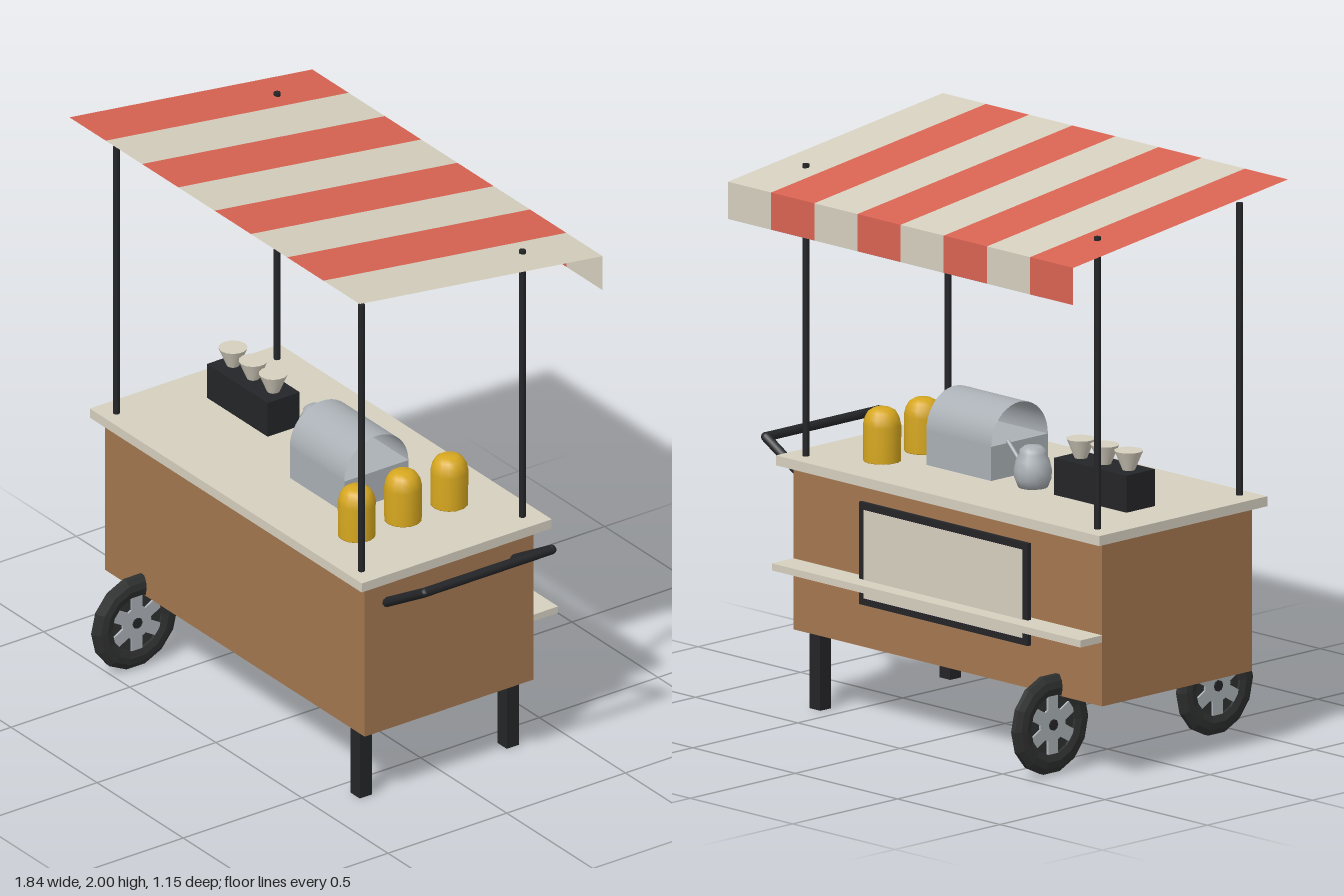
import * as THREE from 'three';

const mat = (name, color, side = THREE.FrontSide) => {
  const m = new THREE.MeshStandardMaterial({ color, side });
  m.name = name;
  return m;
};

export function createModel() {
  const root = new THREE.Group();
  root.name = 'foodCart';
  const wood = mat('brown wood', 0xa3764f);
  const cream = mat('cream', 0xd6cfbf, THREE.DoubleSide);
  const red = mat('awning red', 0xd86352, THREE.DoubleSide);
  const black = mat('black', 0x242528);
  const rubber = mat('tyre rubber', 0x2f3030);
  const steel = mat('steel', 0xaab0b5, THREE.DoubleSide);
  const yellow = mat('yellow', 0xd6a71f);

  const add = (name, geo, material, parent = root) => {
    const m = new THREE.Mesh(geo, material);
    m.name = name;
    parent.add(m);
    return m;
  };
  // Box given by its minimum and maximum corners
  const box = (name, a, b, material, parent) => {
    const m = add(name, new THREE.BoxGeometry(b[0] - a[0], b[1] - a[1], b[2] - a[2]), material, parent);
    m.position.set((a[0] + b[0]) / 2, (a[1] + b[1]) / 2, (a[2] + b[2]) / 2);
    return m;
  };
  // Round bar between two points
  const rod = (name, a, b, r, material, parent, sides = 8) => {
    const p = new THREE.Vector3(...a), q = new THREE.Vector3(...b);
    const d = q.clone().sub(p);
    const m = add(name, new THREE.CylinderGeometry(r, r, d.length(), sides), material, parent);
    m.position.copy(p).add(q).multiplyScalar(0.5);
    m.quaternion.setFromUnitVectors(new THREE.Vector3(0, 1, 0), d.normalize());
    return m;
  };
  const lathe = (pts, sides) => new THREE.LatheGeometry(pts.map(p => new THREE.Vector2(...p)), sides);

  // Cart body, counter and service shelf
  box('body', [-0.83, 0.27, -0.347], [0.678, 0.85, 0.365], wood);
  box('counter', [-0.87, 0.85, -0.4], [0.71, 0.885, 0.4], cream);
  box('shelf', [-0.83, 0.495, -0.45], [0.678, 0.52, -0.347], cream);

  // Framed hatch on the back
  box('hatchFrame', [-0.505, 0.43, -0.385], [0.32, 0.79, -0.37], black);
  box('hatchPanel', [-0.48, 0.455, -0.388], [0.295, 0.765, -0.384], cream);

  // Legs
  for (const z of [0.317, -0.302])
    box('leg', [0.567, 0, z - 0.026], [0.62, 0.27, z + 0.026], black);

  // Awning posts
  for (const x of [-0.79, 0.634])
    for (const z of [0.346, -0.331])
      rod('post', [x, 0.885, z], [x, 1.912, z], 0.012, black);

  // Push handle
  const handle = new THREE.Group();
  handle.name = 'handle';
  root.add(handle);
  for (const z of [0.274, -0.262]) {
    rod('handleArm', [0.678, 0.76, z], [0.9, 0.892, z], 0.017, black, handle);
    const joint = add('handleCorner', new THREE.SphereGeometry(0.017, 8, 6), black, handle);
    joint.position.set(0.9, 0.892, z);
  }
  rod('handleBar', [0.9, 0.892, -0.262], [0.9, 0.892, 0.274], 0.017, black, handle);

  // Striped awning: sloped sheet with a valance along the low back edge
  const awning = new THREE.Group();
  awning.name = 'awning';
  root.add(awning);
  const x0 = -0.922, x1 = 0.764, zBack = -0.575, zFront = 0.448;
  const yBack = 1.868, yFront = 2, w = (x1 - x0) / 8;
  const run = zFront - zBack, rise = yFront - yBack;
  for (let i = 0; i < 8; i++) {
    const colour = i % 2 ? cream : red;
    const x = x0 + w * (i + 0.5);
    const roof = add('awningStripe', new THREE.PlaneGeometry(w, Math.hypot(run, rise)), colour, awning);
    roof.rotation.x = -Math.PI / 2 - Math.atan2(rise, run);
    roof.position.set(x, (yBack + yFront) / 2, (zBack + zFront) / 2);
    const flap = add('valanceStripe', new THREE.PlaneGeometry(w, 0.131), colour, awning);
    flap.rotation.y = Math.PI;
    flap.position.set(x, yBack - 0.0655, zBack);
  }

  // Wheels, built around y and turned so the axle runs along x
  for (const z of [0.4, -0.385]) {
    const wheel = new THREE.Group();
    wheel.name = 'wheel';
    wheel.position.set(-0.612, 0.176, z);
    wheel.rotation.z = -Math.PI / 2;
    root.add(wheel);
    const tyre = lathe([[0.105, -0.018], [0.13, -0.025], [0.155, -0.021], [0.175, -0.009],
      [0.175, 0.009], [0.155, 0.021], [0.13, 0.025], [0.105, 0.018], [0.105, -0.018]], 14).toNonIndexed();
    tyre.computeVertexNormals();
    add('tyre', tyre, rubber, wheel);
    add('wheelBack', new THREE.CylinderGeometry(0.112, 0.112, 0.018, 14), rubber, wheel);
    add('rimCentre', new THREE.CylinderGeometry(0.06, 0.06, 0.034, 12), steel, wheel);
    for (let i = 0; i < 6; i++) {
      const a = i * Math.PI / 3;
      const spoke = add('spoke', new THREE.BoxGeometry(0.065, 0.034, 0.046), steel, wheel);
      spoke.position.set(Math.cos(a) * 0.075, 0, Math.sin(a) * 0.075);
      spoke.rotation.y = -a;
    }
    add('hub', new THREE.CylinderGeometry(0.02, 0.02, 0.044, 8), black, wheel);
  }

  // Cup stand with three cups
  box('cupStand', [-0.7, 0.885, -0.105], [-0.347, 1.015, 0.03], black);
  for (const x of [-0.642, -0.525, -0.408]) {
    const cup = add('cup', new THREE.CylinderGeometry(0.05, 0.022, 0.068, 14), cream);
    cup.position.set(x, 1.049, -0.038);
  }

  // Kettle with a slanted spout
  const kettle = new THREE.Group();
  kettle.name = 'kettle';
  kettle.position.set(-0.212, 0.885, -0.075);
  root.add(kettle);
  add('kettleBody', lathe([[0, 0], [0.052, 0], [0.064, 0.03], [0.066, 0.06], [0.058, 0.095],
    [0.045, 0.118], [0.045, 0.13], [0.03, 0.142], [0, 0.146]], 14), steel, kettle);
  rod('spout', [0.05, 0.065, 0], [0.122, 0.138, 0], 0.007, steel, kettle);

  // Warmer: solid base under an open arched cover
  box('warmerBase', [-0.06, 0.885, -0.125], [0.257, 1.005, 0.145], steel);
  const cover = add('warmerCover',
    new THREE.CylinderGeometry(0.135, 0.135, 0.317, 20, 1, true, 0, Math.PI), steel);
  cover.geometry.rotateZ(Math.PI / 2);
  cover.position.set(0.0985, 1.005, 0.01);

  // Domed jars
  const jar = lathe([[0, 0], [0.065, 0], [0.065, 0.002], [0.066, 0.125], [0.06, 0.152],
    [0.048, 0.173], [0.03, 0.184], [0, 0.186]], 14);
  for (const z of [0.203, 0.008, -0.187])
    add('jar', jar, yellow).position.set(0.409, 0.885, z);

  return root;
}
